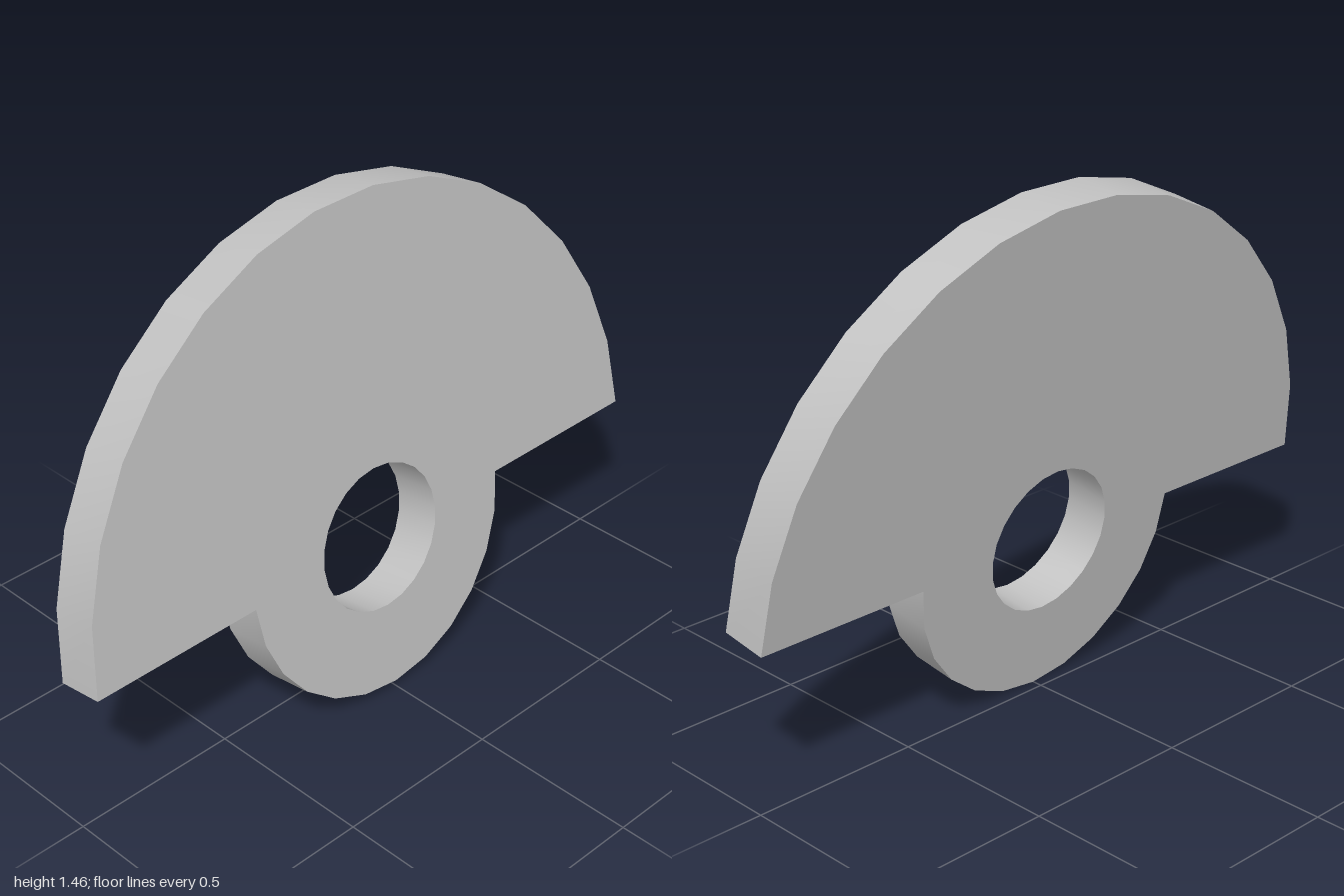
import * as THREE from 'three';
import { toCreasedNormals } from 'three/addons/utils/BufferGeometryUtils.js';

const TILT = Math.atan2(0.14, 0.98);
const THICKNESS = 0.1414;

// Points along a circular arc, given as start and end in half turns
function arc(radius, start, end, segments) {
  return Array.from({ length: segments + 1 }, (_, i) => {
    const a = Math.PI * (start + ((end - start) * i) / segments);
    return new THREE.Vector2(radius * Math.cos(a), radius * Math.sin(a));
  });
}

export function createModel() {
  const model = new THREE.Group();
  const grey = new THREE.MeshStandardMaterial({ color: 0xc0c0c0 });
  grey.name = 'plain grey';

  // Wide half disc above, small half hub below, with a round bore
  const outline = new THREE.Shape([...arc(1, 0, 1, 15), ...arc(0.465, 1, 2, 12)]);
  outline.holes.push(new THREE.Path(arc(0.215, 0, 2, 24).slice(0, -1)));

  const plate = new THREE.ExtrudeGeometry(outline, { depth: THICKNESS, bevelEnabled: false });
  plate.translate(0, 0, -THICKNESS / 2);
  plate.rotateY(Math.PI / 2);

  const counterweight = new THREE.Mesh(toCreasedNormals(plate, 0.6), grey);
  counterweight.name = 'counterweightPlate';
  counterweight.rotation.z = TILT;
  counterweight.position.set(0.0025 + 0.0325, 0.47, 0);
  model.add(counterweight);
  return model;
}
